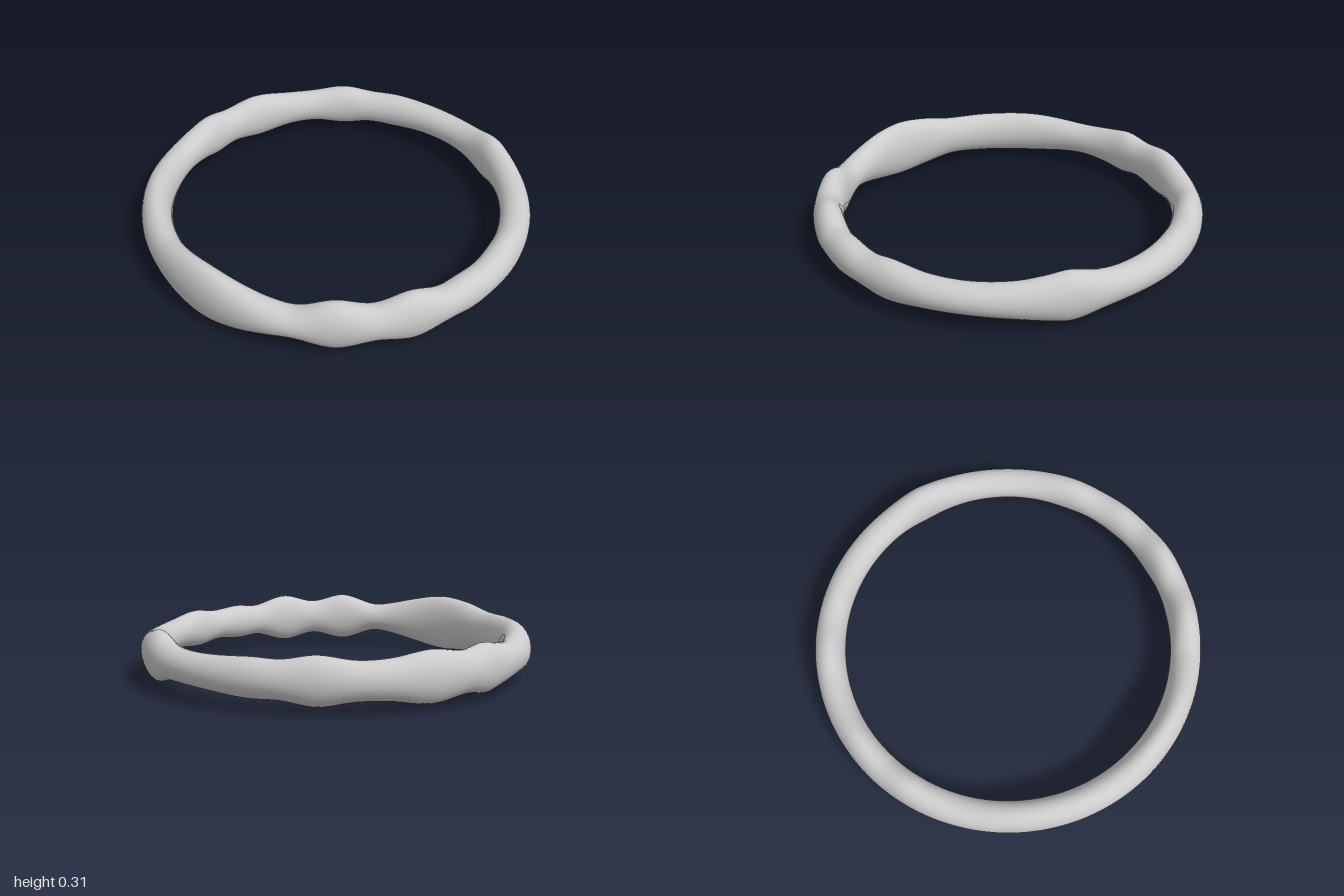
import * as THREE from 'three';
import { mergeVertices } from 'three/addons/utils/BufferGeometryUtils.js';

const RADIUS = 0.922, HALF_WIDTH = 0.078, CENTRE_Y = 0.153;

// Half-height of the band around the ring: [degrees from +x towards +z, half-height]
const SWELL = [
  [0, 0.09], [13, 0.077], [26, 0.081], [38, 0.1], [48, 0.082], [58, 0.094],
  [66, 0.086], [77, 0.131], [88, 0.095], [99.5, 0.131], [111, 0.078],
  [118, 0.09], [127, 0.122], [134, 0.144], [141, 0.153], [150, 0.138],
  [161, 0.108], [174, 0.11], [192, 0.11], [211, 0.085], [222, 0.1],
  [229.5, 0.118], [238, 0.101], [249.5, 0.123], [262, 0.096], [271, 0.092],
  [282, 0.115], [292, 0.092], [301, 0.094], [314, 0.083], [327, 0.08],
  [335, 0.091], [345, 0.126], [352, 0.11],
];

// Key number i, wrapping around the circle
function key(i) {
  const n = SWELL.length, turn = Math.floor(i / n);
  const [a, h] = SWELL[i - turn * n];
  return [a + 360 * turn, h];
}

function slope(i) {
  const [a0, h0] = key(i - 1), [a1, h1] = key(i + 1);
  return (h1 - h0) / (a1 - a0);
}

// Smooth periodic interpolation of the swell
function halfHeight(angle) {
  let i = 0;
  while (key(i + 1)[0] <= angle) i++;
  const [a0, h0] = key(i), [a1, h1] = key(i + 1);
  const d = a1 - a0, t = (angle - a0) / d, u = 1 - t;
  return h0 * u * u * (1 + 2 * t) + h1 * t * t * (1 + 2 * u)
    + d * t * u * (slope(i) * u - slope(i + 1) * t);
}

export function createModel() {
  const group = new THREE.Group();
  group.name = 'wavyRing';

  // Plain torus lying flat, stretched vertically by the swell at each angle
  let geometry = new THREE.TorusGeometry(RADIUS, HALF_WIDTH, 32, 360).rotateX(Math.PI / 2);
  const p = geometry.attributes.position;
  for (let i = 0; i < p.count; i++) {
    const degrees = THREE.MathUtils.radToDeg(Math.atan2(p.getZ(i), p.getX(i)));
    const angle = THREE.MathUtils.euclideanModulo(degrees, 360);
    p.setY(i, CENTRE_Y + p.getY(i) / HALF_WIDTH * halfHeight(angle));
  }

  // Weld the seams so the shading runs smoothly all round
  geometry.deleteAttribute('uv');
  geometry.deleteAttribute('normal');
  geometry = mergeVertices(geometry, 1e-5);
  geometry.computeVertexNormals();

  const band = new THREE.Mesh(geometry, new THREE.MeshStandardMaterial({ color: 0xcccccc }));
  band.name = 'band';
  group.add(band);
  return group;
}
